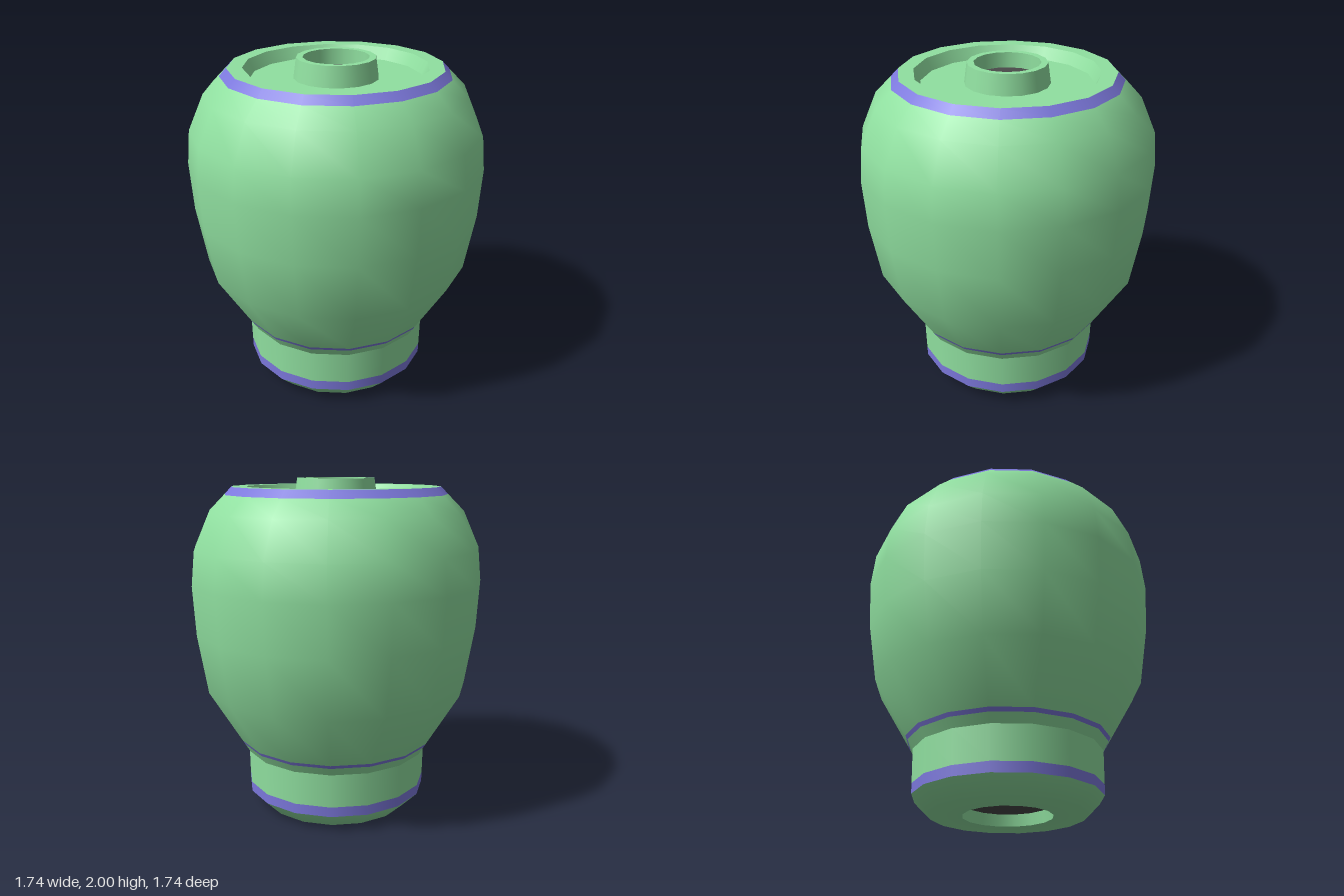
import * as THREE from 'three';

const SIDES = 16;
const green = new THREE.MeshStandardMaterial({ color: 0x90e0a0 });
const purple = new THREE.MeshStandardMaterial({ color: 0x7c78dc });
const dark = new THREE.MeshStandardMaterial({ color: 0x4a4a4a, side: THREE.DoubleSide });

export function createModel() {
  const group = new THREE.Group();

  // Turned section from [radius, height] pairs; smooth within, creased between sections
  const turn = (name, points, material = green) => {
    const profile = points.map(([r, y]) => new THREE.Vector2(r, y));
    const mesh = new THREE.Mesh(new THREE.LatheGeometry(profile, SIDES), material);
    mesh.name = name;
    group.add(mesh);
  };

  // Foot and neck
  turn('footHoleWall', [[0.25, 0.07], [0.26, 0]]);
  turn('foot', [[0.26, 0], [0.45, 0], [0.55, 0.1]]);
  turn('footBand', [[0.55, 0.1], [0.551, 0.16]], purple);
  turn('neck', [[0.551, 0.16], [0.555, 0.36]]);
  turn('neckFlare', [[0.555, 0.36], [0.587, 0.413]]);
  turn('neckBand', [[0.587, 0.413], [0.6, 0.435]], purple);

  // Swelling body
  turn('body', [
    [0.6, 0.435], [0.795, 0.76], [0.853, 1.11], [0.87, 1.4],
    [0.85, 1.6], [0.757, 1.81], [0.66, 1.908],
  ]);

  // Top rim with its sunken floor
  turn('topBand', [[0.66, 1.908], [0.618, 1.952]], purple);
  turn('topRim', [[0.618, 1.952], [0.53, 1.952]]);
  turn('recessWall', [[0.53, 1.952], [0.495, 1.882]]);
  turn('recessFloor', [[0.495, 1.882], [0.245, 1.882]]);

  // Central collar
  turn('collarOuter', [[0.245, 1.882], [0.228, 2]]);
  turn('collarLip', [[0.228, 2], [0.19, 2]]);
  turn('collarInner', [[0.19, 2], [0.19, 1.91]]);

  // Dark discs closing the two openings
  for (const [name, radius, y, turnX] of [
    ['collarPlug', 0.19, 1.91, -1],
    ['footPlug', 0.25, 0.07, 1],
  ]) {
    const disc = new THREE.Mesh(new THREE.CircleGeometry(radius, SIDES), dark);
    disc.name = name;
    disc.rotation.x = turnX * Math.PI / 2;
    disc.position.y = y;
    group.add(disc);
  }
  return group;
}
